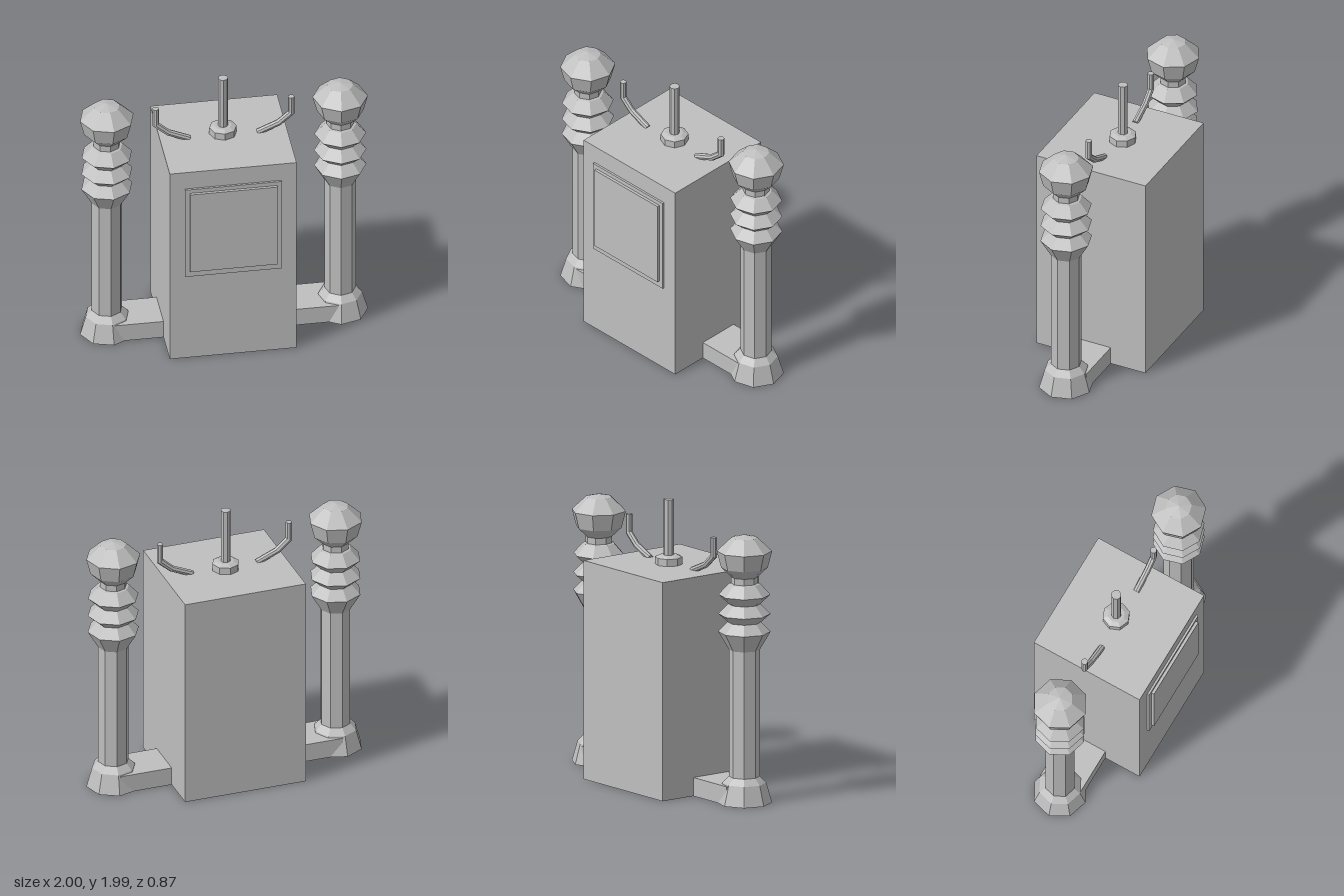
import * as THREE from 'three';

const stone = new THREE.MeshStandardMaterial({ color: 0xbfbfbf });
stone.name = 'stone grey';

// Faceted mesh: every face keeps its own normal
function part(name, geometry, x = 0, y = 0, z = 0) {
  const flat = geometry.toNonIndexed();
  flat.computeVertexNormals();
  const mesh = new THREE.Mesh(flat, stone);
  mesh.name = name;
  mesh.position.set(x, y, z);
  return mesh;
}

// Box given by its limits
function box(name, x0, x1, y0, y1, z0, z1) {
  return part(name, new THREE.BoxGeometry(x1 - x0, y1 - y0, z1 - z0),
    (x0 + x1) / 2, (y0 + y1) / 2, (z0 + z1) / 2);
}

// Eight-sided turned shape from [radius, height] pairs, bottom to top
function turned(profile, turn = 0) {
  return new THREE.LatheGeometry(profile.map(([r, y]) => new THREE.Vector2(r, y)), 8, turn);
}

// Round bar bent along a path of [x, y] points that runs downwards
function bentBar(points, radius) {
  const rows = points.length - 1;
  const geometry = new THREE.CylinderGeometry(radius, radius, 1, 8, rows);
  const pos = geometry.attributes.position;
  const path = points.map(([x, y]) => new THREE.Vector2(x, y));
  for (let v = 0; v < pos.count; v++) {
    const i = Math.round((0.5 - pos.getY(v)) * rows);
    const into = path[Math.max(i - 1, 0)].clone().sub(path[Math.max(i, 1)]).normalize();
    const out = path[Math.min(i, rows - 1)].clone().sub(path[Math.min(i + 1, rows)]).normalize();
    const up = into.clone().add(out).normalize();
    const side = pos.getX(v) / up.dot(into);
    pos.setXYZ(v, path[i].x + up.y * side, path[i].y - up.x * side, pos.getZ(v));
  }
  return geometry;
}

const columnProfile = [
  [0, 0], [0.19, 0], [0.15, 0.14], [0.107, 0.185], // foot
  [0.107, 1.075], [0.18, 1.2], [0.115, 1.268], // shaft and first ring
  [0.18, 1.325], [0.11, 1.395], [0.178, 1.46], [0.11, 1.535], // rings
  [0.093, 1.54], [0.093, 1.585], // neck
  [0.16, 1.65], [0.19, 1.765], [0.09, 1.86], [0, 1.88], // ball
];

export function createModel() {
  const model = new THREE.Group();
  model.name = 'pedestal';

  // Main block and stepped front panel
  model.add(box('body', -0.44, 0.44, 0, 1.535, -0.437, 0.4));
  model.add(box('panelFrame', -0.335, 0.335, 0.68, 1.4, 0.39, 0.415));
  model.add(box('panelFace', -0.303, 0.303, 0.73, 1.37, 0.4, 0.435));

  // Centre post on its collar
  model.add(part('postCollar', turned([[0.095, 1.53], [0.095, 1.585], [0.06, 1.6], [0, 1.6]]), 0, 0, -0.04));
  model.add(part('post', turned([[0.035, 1.58], [0.035, 1.99], [0, 1.99]]), 0, 0, -0.04));

  // Mirrored columns, connecting bars and hooks
  for (const s of [1, -1]) {
    const side = s > 0 ? 'left' : 'right';
    model.add(part(side + 'Column', turned(columnProfile, -s * 0.11), s * 0.81, 0, -0.015));
    const x = [s * 0.42, s * 0.81].sort((a, b) => a - b);
    model.add(box(side + 'Bar', x[0], x[1], 0, 0.13, -0.17, 0.13));
    const path = [[0.47, 1.8], [0.47, 1.67], [0.385, 1.595], [0.235, 1.53]].map(([px, py]) => [s * px, py]);
    model.add(part(side + 'Hook', bentBar(path, 0.023), 0, 0, -0.017));
  }
  return model;
}
